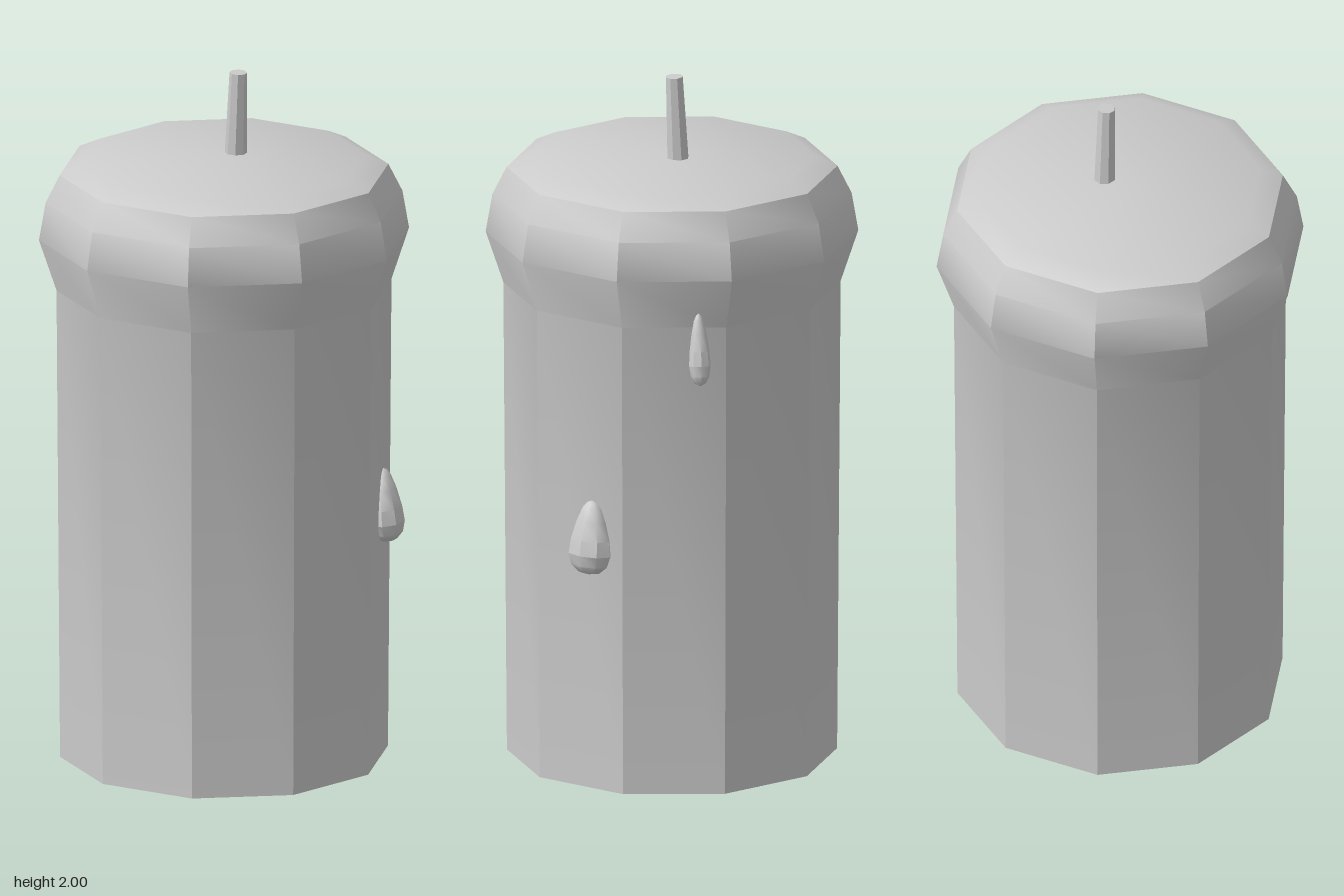
import * as THREE from 'three';
import { toCreasedNormals } from 'three/addons/utils/BufferGeometryUtils.js';

const material = new THREE.MeshStandardMaterial({ color: 0xcccccc });

// Lathe with a vertex on +x; edges sharper than the crease angle stay hard
function turned(name, profile, sides, crease) {
  const points = profile.map(([r, y]) => new THREE.Vector2(r, y));
  const geometry = new THREE.LatheGeometry(points, sides, Math.PI / 2);
  const mesh = new THREE.Mesh(toCreasedNormals(geometry, crease), material);
  mesh.name = name;
  return mesh;
}

// Teardrop of wax: origin at its bottom, unit height, unit radius
const dropProfile = [
  [0, 0], [0.5, 0.035], [0.85, 0.13], [1, 0.28], [0.92, 0.48],
  [0.7, 0.72], [0.45, 0.9], [0.22, 0.975], [0, 1],
];

function waxDrop(name, { x, y, z, width, depth, height, angle, lean }) {
  const drop = turned(name, dropProfile, 8, 0.6);
  drop.scale.set(depth, height, width);
  drop.rotation.z = lean;
  const holder = new THREE.Group();
  holder.name = name + 'Holder';
  holder.position.set(x, y, z);
  holder.rotation.y = -angle; // local +x points away from the candle
  holder.add(drop);
  return holder;
}

export function createModel() {
  const group = new THREE.Group();
  group.name = 'candle';

  // Ten-sided wax body with a swollen, bevelled rim
  const body = turned('waxBody', [
    [0, 0], [0.467, 0], [0.477, 1.38], [0.527, 1.53], [0.508, 1.64],
    [0.468, 1.72], [0.405, 1.75], [0, 1.762],
  ], 10, 0.6);
  body.position.x = -0.008;
  group.add(body);

  // Slightly leaning wick
  const wick = new THREE.Mesh(
    toCreasedNormals(new THREE.CylinderGeometry(0.025, 0.032, 0.27, 8), 0.6), material);
  wick.name = 'wick';
  wick.position.set(0.039, 1.865, 0.003);
  wick.rotation.x = 0.045;
  group.add(wick);

  // Wax drops running down the side
  group.add(
    waxDrop('upperDrop', {
      x: 0.508, y: 1.227, z: 0.09, width: 0.031, depth: 0.028, height: 0.207,
      angle: 0.15, lean: 0.16,
    }),
    waxDrop('lowerDrop', {
      x: 0.3, y: 0.637, z: 0.352, width: 0.069, depth: 0.052, height: 0.215,
      angle: 0.942, lean: 0.08,
    }),
  );
  return group;
}
